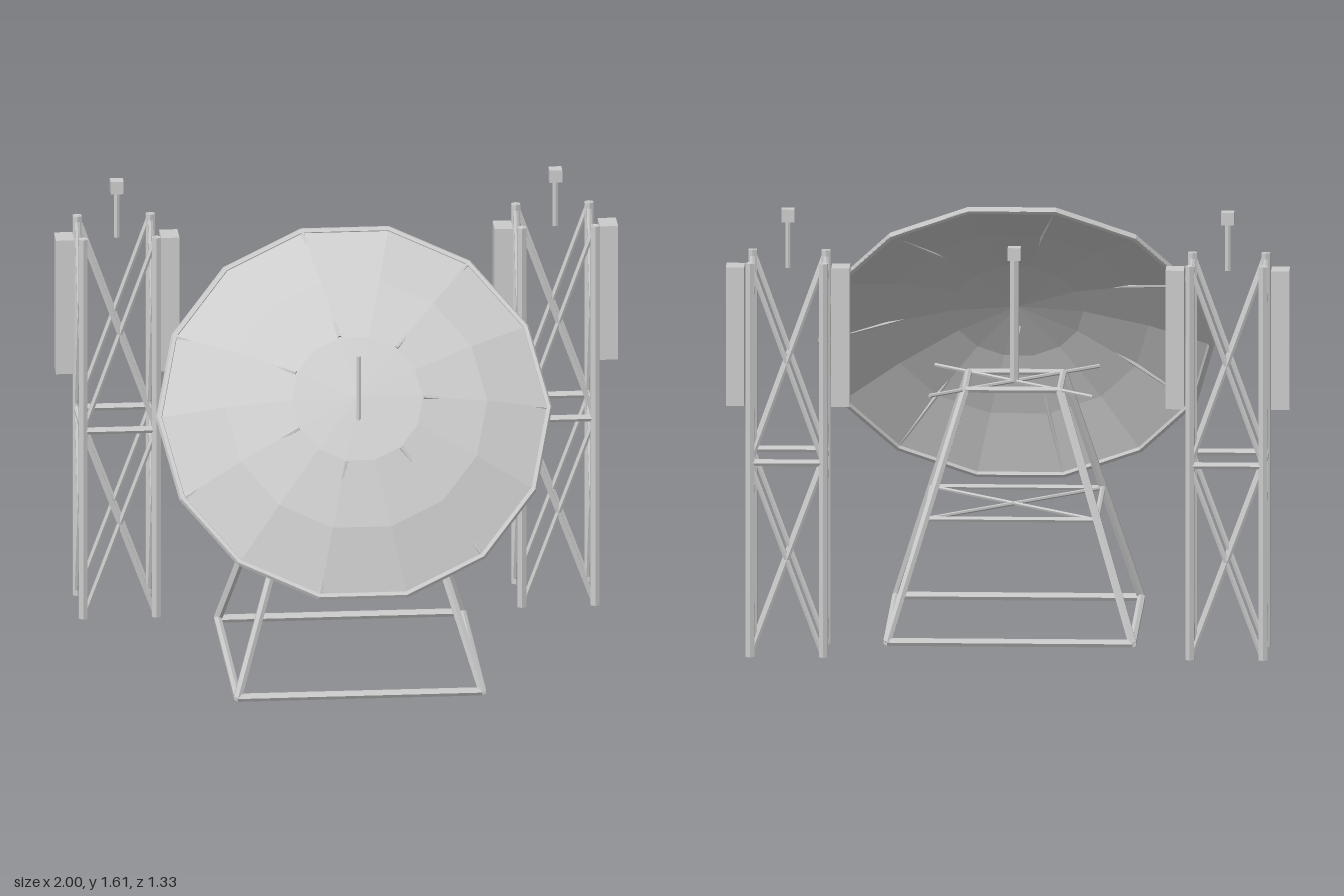
import * as THREE from 'three';

const grey = new THREE.MeshStandardMaterial({ color: 0xcccccc, flatShading: true });
const greyDouble = new THREE.MeshStandardMaterial({ color: 0xcccccc, flatShading: true, side: THREE.DoubleSide });
const V = (x, y, z) => new THREE.Vector3(x, y, z);

// Round bar between two points
function bar(parent, name, a, b, r, sides = 6) {
  const dir = b.clone().sub(a);
  const mesh = new THREE.Mesh(new THREE.CylinderGeometry(r, r, dir.length(), sides), grey);
  mesh.position.copy(a).add(b).multiplyScalar(0.5);
  mesh.quaternion.setFromUnitVectors(V(0, 1, 0), dir.normalize());
  mesh.name = name;
  parent.add(mesh);
}

function box(parent, name, w, h, d, x, y, z) {
  const mesh = new THREE.Mesh(new THREE.BoxGeometry(w, h, d), grey);
  mesh.position.set(x, y, z);
  mesh.name = name;
  parent.add(mesh);
}

// Four corners of a horizontal square, in order
const square = (half, y) => [[1, 1], [1, -1], [-1, -1], [-1, 1]].map(([x, z]) => V(x * half, y, z * half));

function ring(parent, name, corners, r) {
  corners.forEach((c, i) => bar(parent, name, c, corners[(i + 1) % 4], r));
}

// Stem with a small box on top
function beacon(parent, y0, y1) {
  bar(parent, 'beaconStem', V(0, y0, 0), V(0, y1, 0), 0.011);
  box(parent, 'beaconBox', 0.046, 0.046, 0.046, 0, y1 + 0.02, 0);
}

function lattice(side) {
  const tower = new THREE.Group();
  tower.name = side > 0 ? 'leftTower' : 'rightTower';
  const half = 0.13;
  const low = square(half, 0.02), mid = square(half, 0.72), high = square(half, 1.44);
  ring(tower, 'towerRing', mid, 0.013);
  for (let i = 0; i < 4; i++) {
    const j = (i + 1) % 4;
    bar(tower, 'towerPost', low[i], high[i], 0.018);
    // Crossed braces in both bays of each face
    for (const [a, b] of [[low, mid], [mid, high]]) {
      bar(tower, 'towerBrace', a[i], b[j], 0.01);
      bar(tower, 'towerBrace', a[j], b[i], 0.01);
    }
  }
  for (const s of [-1, 1]) box(tower, 'panelAntenna', 0.065, 0.5, 0.093, s * 0.187, 1.157, 0);
  beacon(tower, 1.4, 1.57);
  tower.position.set(side * 0.78, 0, -0.52);
  return tower;
}

function stand() {
  const g = new THREE.Group();
  g.name = 'stand';
  const low = square(0.435, 0.018), mid = square(0.303, 0.438), high = square(0.168, 0.88);
  ring(g, 'baseBar', low, 0.015);
  ring(g, 'middleBar', mid, 0.01);
  ring(g, 'topBar', high, 0.012);
  low.forEach((c, i) => bar(g, 'standLeg', c, high[i], 0.016));
  // Diagonal cross bars at the middle and the top
  for (const cross of [mid, square(0.29, 0.88)]) {
    for (const i of [0, 1]) bar(g, 'crossBar', cross[i], cross[i + 2], 0.007);
  }
  // Mast, feed arm and feed rod
  bar(g, 'mast', V(0, 0.88, 0), V(0, 1.32, 0), 0.018);
  box(g, 'mastCap', 0.046, 0.046, 0.046, 0, 1.34, 0);
  bar(g, 'feedArm', V(0, 1.0, 0), V(0, 1.0, 0.375), 0.011);
  bar(g, 'feedRod', V(0, 1.0, 0.375), V(0, 1.265, 0.375), 0.009);
  g.position.z = 0.085;
  return g;
}

function dish() {
  const g = new THREE.Group();
  g.name = 'dish';
  const R = 0.7, depth = 0.2, thick = 0.024, sides = 14;
  // Thin parabolic shell, domed towards the front
  const radii = [0, R / 3, 2 * R / 3, R];
  const height = r => depth * (1 - (r / R) ** 2);
  const profile = [
    ...radii.map(r => new THREE.Vector2(r, height(r) - thick * (r === R ? 0.4 : 1))),
    ...radii.slice().reverse().map(r => new THREE.Vector2(r, height(r))),
  ];
  const shell = new THREE.Mesh(new THREE.LatheGeometry(profile, sides, Math.PI / sides), greyDouble);
  shell.name = 'dishShell';
  g.add(shell);
  // Rim
  const rim = new THREE.Mesh(new THREE.TorusGeometry(R - 0.008, 0.013, 6, sides).rotateX(Math.PI / 2), grey);
  rim.name = 'dishRim';
  g.add(rim);
  // Straight ribs on every second corner
  for (let k = 0; k < 7; k++) {
    const a = Math.PI + Math.PI / sides + k * 2 * Math.PI / 7;
    const at = (r, y) => V(r * Math.sin(a), y, r * Math.cos(a));
    bar(g, 'dishRib', at(0.235, 0.176), at(0.69, 0.002), 0.008);
  }
  g.rotation.x = Math.atan2(0.816, 0.579);
  g.position.set(0, 0.985, 0.262);
  return g;
}

export function createModel() {
  const model = new THREE.Group();
  model.name = 'dishStation';
  model.add(stand(), dish(), lattice(1), lattice(-1));
  return model;
}
